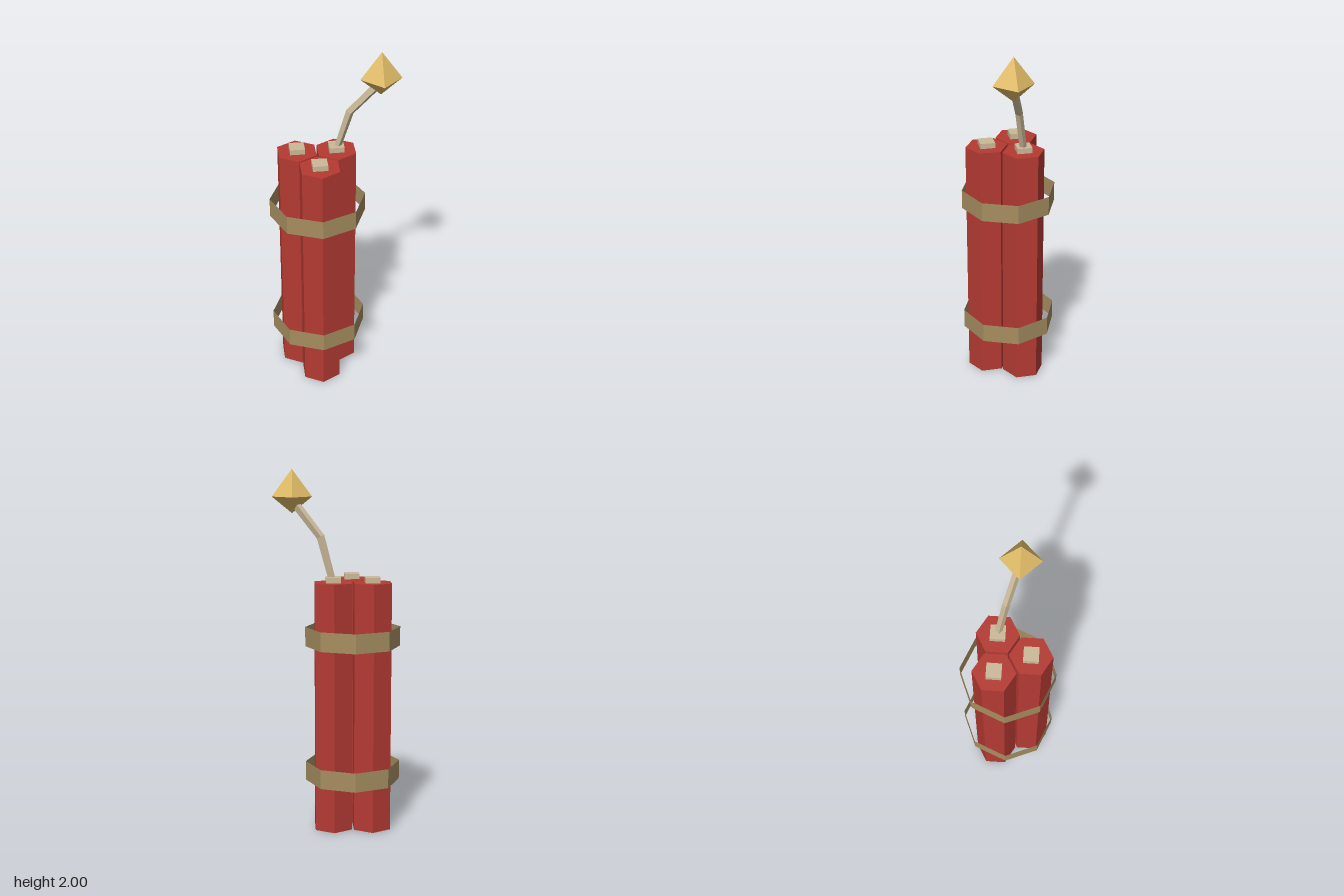
import * as THREE from 'three';

const material = (color, side = THREE.FrontSide) =>
  new THREE.MeshStandardMaterial({ color, side, flatShading: true });

// Four-sided tube running through square rings; each ring is [x, y, z, tilt]
function squareTube(rings, r) {
  const positions = [], index = [];
  for (const [x, y, z, tilt] of rings) {
    for (let k = 0; k < 4; k++) {
      const dx = r * Math.sin(k * Math.PI / 2), dz = r * Math.cos(k * Math.PI / 2);
      positions.push(x + dx, y - tilt * (dx + 0.4 * dz), z + dz);
    }
  }
  for (let i = 0; i < rings.length - 1; i++) {
    for (let k = 0; k < 4; k++) {
      const a = i * 4 + k, b = i * 4 + (k + 1) % 4;
      index.push(a, b, b + 4, a, b + 4, a + 4);
    }
  }
  // End caps
  const t = (rings.length - 1) * 4;
  index.push(0, 2, 1, 0, 3, 2, t, t + 1, t + 2, t, t + 2, t + 3);
  const geometry = new THREE.BufferGeometry();
  geometry.setAttribute('position', new THREE.Float32BufferAttribute(positions, 3));
  geometry.setIndex(index);
  const flat = geometry.toNonIndexed();
  flat.computeVertexNormals();
  return flat;
}

export function createModel() {
  const model = new THREE.Group();
  model.name = 'stickBundle';

  const red = material(0xb53a33);
  const strap = material(0xa68d60, THREE.DoubleSide);
  const cord = material(0xcbb998);
  const gold = material(0xe2bd68);

  const add = (name, geometry, mat, x = 0, y = 0, z = 0) => {
    const mesh = new THREE.Mesh(geometry, mat);
    mesh.name = name;
    mesh.position.set(x, y, z);
    model.add(mesh);
    return mesh;
  };

  // Three hexagonal sticks, each with a small square plug on top
  const stickHeight = 1.39, plugHeight = 0.03;
  const stick = new THREE.CylinderGeometry(0.117, 0.117, stickHeight, 6);
  const plug = new THREE.BoxGeometry(0.082, plugHeight, 0.082);
  const sticks = [
    ['right', -0.194, -0.066],
    ['left', 0.02, -0.06],
    ['front', -0.091, 0.122],
  ];
  for (const [name, x, z] of sticks) {
    add(name + 'Stick', stick, red, x, stickHeight / 2, z);
    add(name + 'Plug', plug, cord, x, stickHeight + plugHeight / 2, z);
  }

  // Two thin octagonal straps around the bundle
  const band = new THREE.CylinderGeometry(0.264, 0.264, 0.108, 8, 1, true);
  add('lowerStrap', band, strap, -0.091, 0.314, 0);
  add('upperStrap', band, strap, -0.091, 1.082, 0);

  // Bent fuse rising from the left stick
  add('fuse', squareTube([
    [0.028, 1.41, -0.057, 0],
    [0.087, 1.635, -0.02, 0.5],
    [0.241, 1.835, 0.043, 0.7],
  ], 0.02), cord);

  // Faceted spark: a double pyramid, taller above than below
  const spark = new THREE.OctahedronGeometry(1);
  const p = spark.attributes.position;
  for (let i = 0; i < p.count; i++) {
    const y = p.getY(i);
    p.setXYZ(i, p.getX(i) * 0.11, y * (y > 0 ? 0.15 : 0.09), p.getZ(i) * 0.11);
  }
  spark.computeVertexNormals();
  add('spark', spark, gold, 0.241, 1.85, 0.043);

  return model;
}
